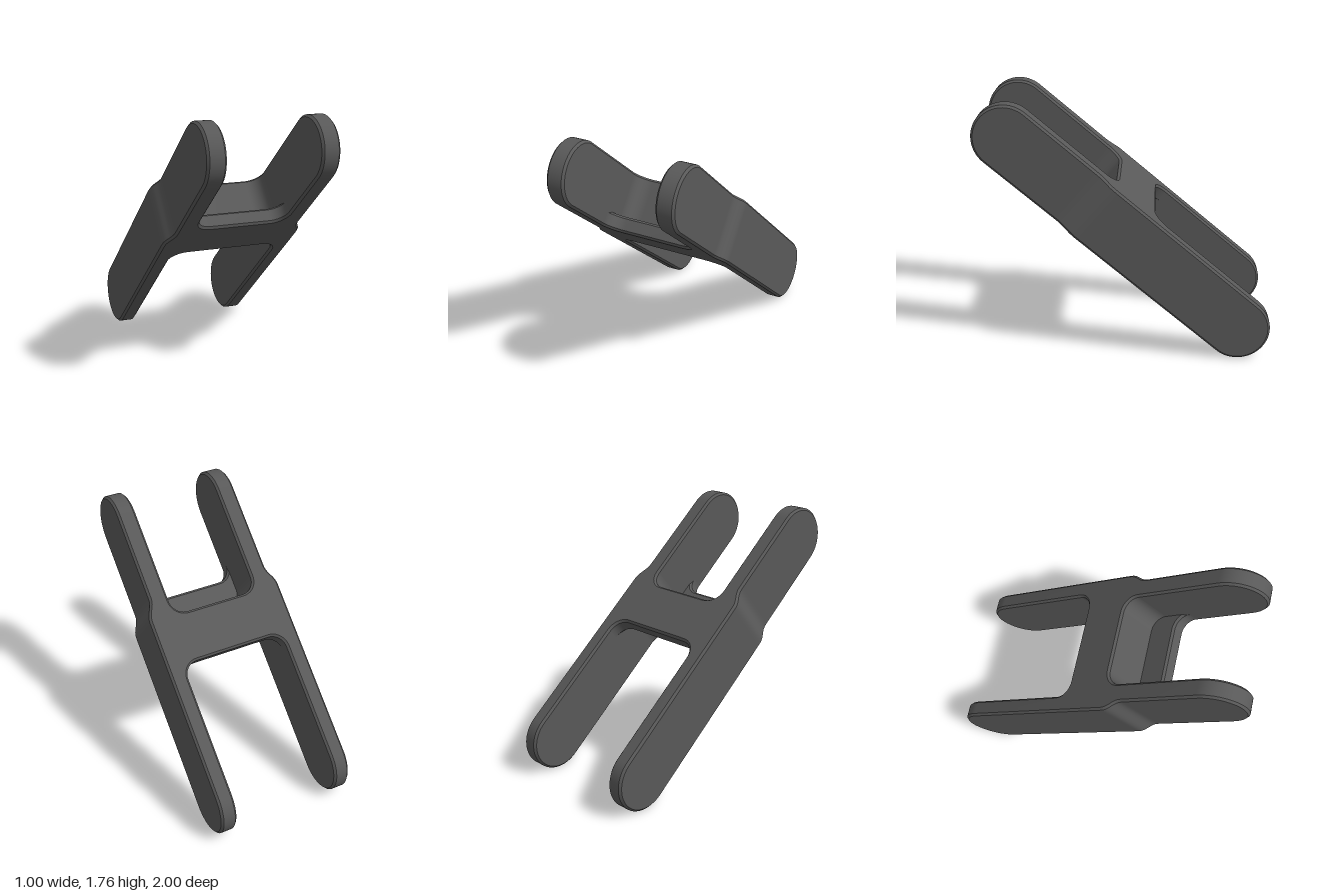
import * as THREE from 'three';
import { toCreasedNormals } from 'three/addons/utils/BufferGeometryUtils.js';

const R = 0.22;          // rounded end radius, half the bar height
const HALF = 1.022;      // half distance between the end centres
const C = 0.015;         // edge chamfer
const FILLET = 0.105;    // inner corner radius between bridge and arms
const OVERLAP = 0.07;    // how far the bridge reaches into the arms
const TILT = Math.atan2(0.66, 0.78);
const X_BACK = 0.385, X_FRONT = 0.32; // inner faces of the arms

const material = new THREE.MeshStandardMaterial({ color: 0x595959 });

// Join closed rings of equal length; both ends are capped with strips.
function loft(rings) {
  const n = rings[0].length, pos = [], idx = [];
  rings.forEach(r => r.forEach(p => pos.push(...p)));
  const quad = (a, b, c, d) => idx.push(a, b, c, a, c, d);
  for (let i = 0; i < rings.length - 1; i++) {
    for (let j = 0; j < n; j++) {
      const k = (j + 1) % n;
      quad(i * n + j, i * n + k, (i + 1) * n + k, (i + 1) * n + j);
    }
  }
  const last = (rings.length - 1) * n;
  for (let k = 0; k < n / 2 - 1; k++) {
    const a = k, b = k + 1, c = n - 2 - k, d = n - 1 - k;
    quad(last + a, last + b, last + c, last + d);
    quad(d, c, b, a);
  }
  const g = new THREE.BufferGeometry();
  g.setAttribute('position', new THREE.Float32BufferAttribute(pos, 3));
  g.setIndex(idx);
  return toCreasedNormals(g, 0.5);
}

const blend = (u, u0, u1, a, b) => a + (b - a) * THREE.MathUtils.smootherstep(u, u0, u1);
const innerX = u => blend(u, 0.13, 0.21, X_BACK, X_FRONT);
const outerX = u => blend(u, 0.235, 0.41, 0.5, 0.45);

// Side outline of an arm: long bar with round ends, at one depth layer.
function armRing(radius, xAt) {
  const top = [], steps = 16;
  for (let i = 0; i <= steps; i++) {
    const a = (i / steps) * Math.PI / 2;
    top.push([-HALF - radius * Math.cos(a), radius * Math.sin(a)]);
  }
  for (let u = 0.12; u < 0.45; u += 0.015) top.push([u, radius]);
  for (let i = steps; i >= 0; i--) {
    const a = (i / steps) * Math.PI / 2;
    top.push([HALF + radius * Math.cos(a), radius * Math.sin(a)]);
  }
  const bottom = top.map(([u, v]) => [u, -v]).reverse();
  return [...top, ...bottom].map(([u, v]) => [xAt(u), v, u]);
}

function armGeometry(side) {
  const layers = [
    [R - C, u => side * innerX(u)],
    [R, u => side * (innerX(u) + C)],
    [R, u => side * (outerX(u) - C)],
    [R - C, u => side * outerX(u)],
  ];
  if (side < 0) layers.reverse();
  return loft(layers.map(l => armRing(...l)));
}

// Edge of the bridge running from arm to arm, with a fillet at both ends.
function bridgeEdge(u, dir, x, inset) {
  const half = [], steps = 10, r = FILLET + inset;
  for (let i = 0; i <= steps; i++) {
    const a = (i / steps) * Math.PI / 2;
    half.push([x - FILLET + r * Math.sin(a), u + dir * (FILLET - r * Math.cos(a))]);
  }
  half.push([x + OVERLAP, u + dir * FILLET]);
  return [...half.map(([px, pu]) => [-px, pu]).reverse(), ...half];
}

// Stepped bridge: lower lip reaches forward, upper lip reaches back.
function bridgeGeometry() {
  const lowBack = 0.09, lowFront = 0.445, upBack = -0.1, upFront = 0.245, step = 0.11;
  const layers = [ // height, back, front, back inset, front inset
    [-R, lowBack, lowFront, C, C],
    [-R + C, lowBack, lowFront, 0, 0],
    [-step - C, lowBack, lowFront, 0, 0],
    [-step, lowBack, lowFront, 0, C],
    [-step, lowBack, upFront, 0, 0],
    [step, lowBack, upFront, 0, 0],
    [step, upBack, upFront, C, 0],
    [step + C, upBack, upFront, 0, 0],
    [R - C, upBack, upFront, 0, 0],
    [R, upBack, upFront, C, C],
  ];
  return loft(layers.map(([v, back, front, insetB, insetF]) => [
    ...bridgeEdge(front, 1, X_FRONT, insetF),
    ...bridgeEdge(back, -1, X_BACK, insetB).reverse(),
  ].map(([x, u]) => [x, v, u])));
}

export function createModel() {
  const model = new THREE.Group();
  model.name = 'forkedLink';
  const link = new THREE.Group();
  link.name = 'tiltedLink';
  const add = (name, geometry) => {
    const mesh = new THREE.Mesh(geometry, material);
    mesh.name = name;
    link.add(mesh);
  };
  add('leftArm', armGeometry(1));
  add('rightArm', armGeometry(-1));
  add('bridge', bridgeGeometry());
  link.rotation.x = -TILT;
  link.position.y = 0.88;
  model.add(link);
  return model;
}
